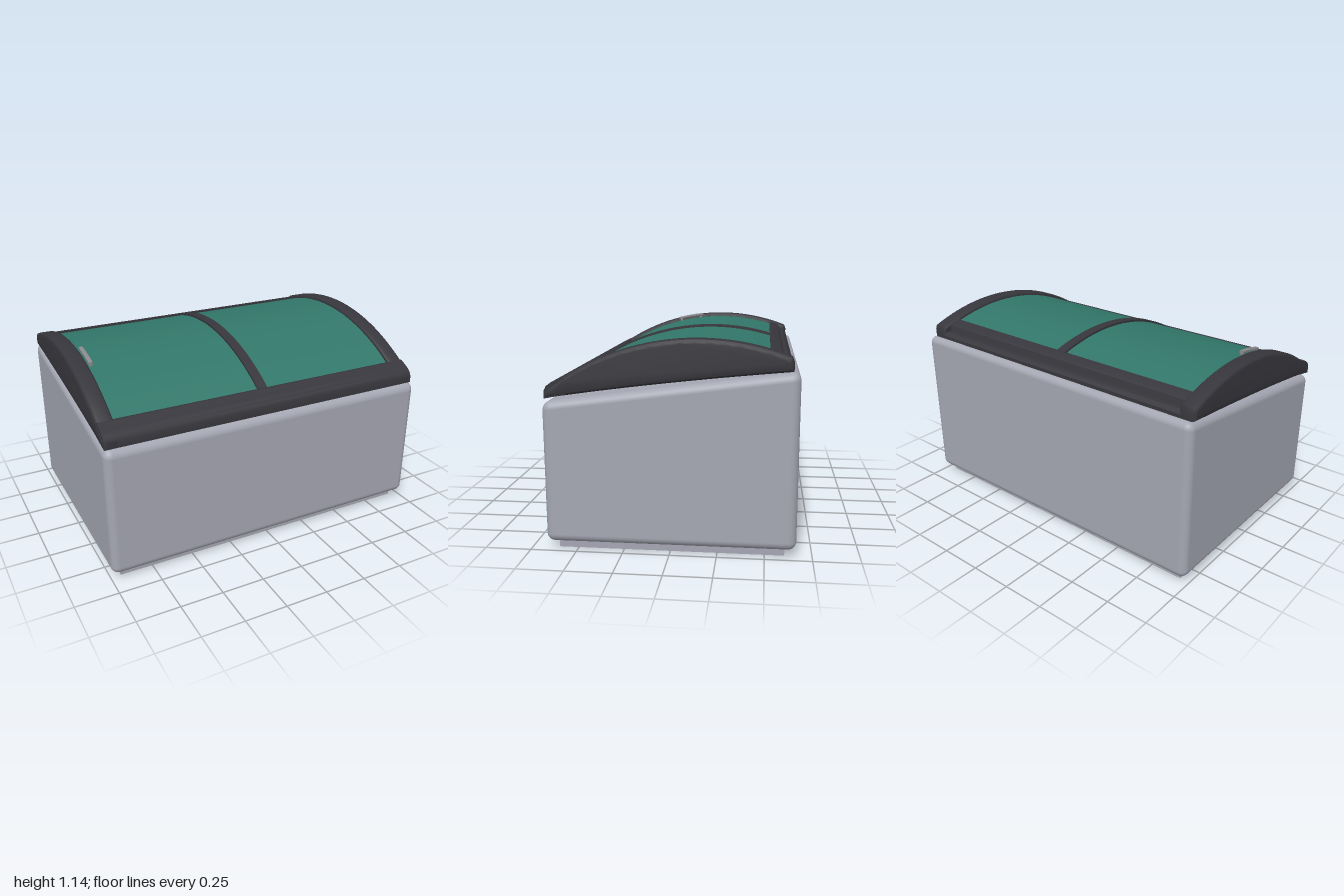
import * as THREE from 'three';
import { toCreasedNormals } from 'three/addons/utils/BufferGeometryUtils.js';
import { RoundedBoxGeometry } from 'three/addons/geometries/RoundedBoxGeometry.js';

const mat = (name, color, side = THREE.FrontSide) => {
  const m = new THREE.MeshStandardMaterial({ color, side });
  m.name = name;
  return m;
};

// Lid arc, in profile coordinates u = -z (towards the back) and v = y
const R = 1.31, CU = 0.15, CV = -0.17;
const arcY = (u, r = R) => CV + Math.sqrt(r * r - (u - CU) ** 2);
const arcPoints = (u0, u1, r, n = 32) =>
  Array.from({ length: n + 1 }, (_, i) => {
    const u = u0 + (u1 - u0) * i / n;
    return new THREE.Vector2(u, arcY(u, r));
  });

// Extrude a side profile across the width, from x0 to x1
function across(shape, x0, x1, bevel = 0) {
  const g = new THREE.ExtrudeGeometry(shape, {
    depth: x1 - x0 - 2 * bevel, bevelEnabled: bevel > 0, bevelSize: bevel,
    bevelThickness: bevel, bevelOffset: -bevel, bevelSegments: 3, curveSegments: 16,
  });
  g.translate(0, 0, x0 + bevel);
  g.rotateY(Math.PI / 2);
  return toCreasedNormals(g, 0.5);
}

const polygon = (pts) => new THREE.Shape(pts.map(([u, v]) => new THREE.Vector2(u, v)));

// Curved strip between two radii of the lid arc
const strip = (u0, u1, outer, inner, n) =>
  new THREE.Shape([...arcPoints(u0, u1, outer, n), ...arcPoints(u1, u0, inner, n)]);

export function createModel() {
  const group = new THREE.Group();
  const shell = mat('light grey shell', 0xa4a6b2);
  const frame = mat('dark frame', 0x37363c);
  const glass = mat('green glass', 0x32776a, THREE.DoubleSide);
  const metal = mat('handle grey', 0x8c8c90);

  const add = (name, geometry, material) => {
    const mesh = new THREE.Mesh(geometry, material);
    mesh.name = name;
    group.add(mesh);
    return mesh;
  };

  // Cabinet: rounded box whose top slopes down to the front
  const slope = 0.133;
  const body = new RoundedBoxGeometry(2, 0.85, 1.33, 4, 0.045);
  const p = body.attributes.position, nrm = body.attributes.normal;
  const n = new THREE.Vector3();
  for (let i = 0; i < p.count; i++) {
    if (p.getY(i) <= 0) continue;
    p.setY(i, p.getY(i) - slope * p.getZ(i));
    n.fromBufferAttribute(nrm, i);
    n.z += slope * n.y;
    n.normalize();
    nrm.setXYZ(i, n.x, n.y, n.z);
  }
  body.translate(0, 0.47, 0);
  add('cabinet', body, shell);

  // Plinth
  add('plinth', new THREE.BoxGeometry(1.88, 0.07, 1.21).translate(0, 0.035, 0), shell);

  // Arched side rails
  const side = new THREE.Shape();
  side.moveTo(-0.655, 0.822);
  side.lineTo(-0.655, 0.862);
  for (const q of arcPoints(-0.635, 0.6, R)) side.lineTo(q.x, q.y);
  side.lineTo(0.622, 1.052);
  side.lineTo(0.63, 1.03);
  side.lineTo(0.63, 0.98);
  side.quadraticCurveTo(-0.1, 0.912, -0.655, 0.822);
  add('rightSideRail', across(side, -1, -0.9, 0.022), frame);
  add('leftSideRail', across(side, 0.87, 0.97, 0.022), frame);

  // Front rail
  add('frontRail', across(polygon([
    [-0.655, 0.822], [-0.655, 0.862], [-0.642, 0.888], [-0.615, 0.908],
    [-0.56, 0.935], [-0.54, 0.93], [-0.54, 0.845],
  ]), -0.995, 0.965), frame);

  // Stepped back rail
  add('backRail', across(polygon([
    [0.51, 0.975], [0.51, arcY(0.51) - 0.012], [0.56, arcY(0.56) - 0.008],
    [0.575, 1.055], [0.585, 1.02], [0.61, 1.02], [0.63, 1.0], [0.63, 0.98],
  ]), -0.97, 0.94), frame);

  // Curved glass panes and the bar between them
  const pane = strip(-0.55, 0.52, R - 0.022, R - 0.03, 32);
  add('rightGlass', across(pane, -0.91, -0.04), glass);
  add('leftGlass', across(pane, 0.01, 0.88), glass);
  add('centreBar', across(strip(-0.555, 0.52, R - 0.01, R - 0.04, 32), -0.045, 0.015), frame);

  // Handle bar on its two feet
  add('handle', across(strip(-0.165, 0.015, R + 0.008, R - 0.008, 8), -0.897, -0.873, 0.004), metal);
  for (const u of [-0.155, -0.01])
    add('handleFoot', across(strip(u, u + 0.015, R, R - 0.025, 2), -0.892, -0.878), metal);

  return group;
}
